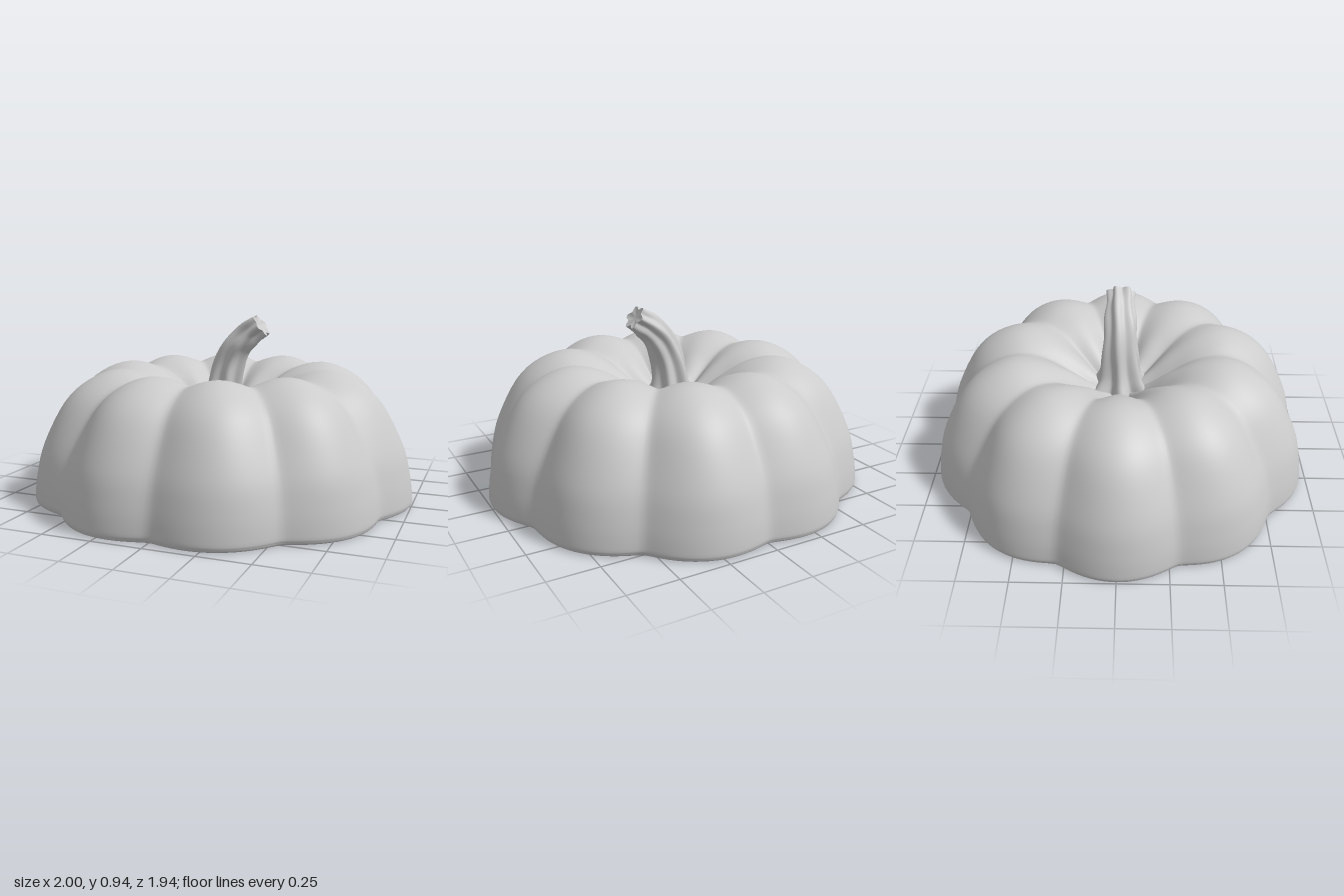
import * as THREE from 'three';

const material = new THREE.MeshStandardMaterial({ color: 0xcccccc, roughness: 0.8 });
const LOBES = 10;
const WALL = 0.03;

// Skin a surface over closed rings: point(row, angle) gives each vertex.
function ringSurface(rows, sides, point) {
  const positions = [], index = [];
  for (let j = 0; j < rows; j++) {
    for (let i = 0; i < sides; i++) positions.push(...point(j, (i / sides) * Math.PI * 2));
  }
  for (let j = 0; j < rows - 1; j++) {
    for (let i = 0; i < sides; i++) {
      const a = j * sides + i, b = j * sides + ((i + 1) % sides);
      index.push(a, a + sides, b, b, a + sides, b + sides);
    }
  }
  const geometry = new THREE.BufferGeometry();
  geometry.setAttribute('position', new THREE.Float32BufferAttribute(positions, 3));
  geometry.setIndex(index);
  geometry.computeVertexNormals();
  return geometry;
}

// Closed wall profile: rounded rim, outer skin up to the hub, inner skin back down.
function wallProfile(points) {
  const curve = new THREE.SplineCurve(points.map(([r, y]) => new THREE.Vector2(r, y)));
  const n = 48, outer = [], inner = [], rim = [];
  for (let k = 0; k <= n; k++) {
    const p = curve.getPoint(k / n), t = curve.getTangent(k / n);
    outer.push(p);
    inner.push(new THREE.Vector2(Math.max(0, p.x - t.y * WALL), p.y + t.x * WALL));
  }
  outer[n].x = inner[n].x = 0;
  inner[0].y = outer[0].y;
  const mid = outer[0].clone().add(inner[0]).multiplyScalar(0.5);
  const half = outer[0].x - mid.x;
  for (let k = 0; k < 8; k++) {
    const a = (k / 8) * Math.PI;
    rim.push(new THREE.Vector2(mid.x - Math.cos(a) * half, mid.y - Math.sin(a) * 0.015));
  }
  return [...rim, ...outer, ...inner.reverse()];
}

function createShell() {
  const crest = wallProfile([
    [0.998, 0.015], [1.0, 0.04], [0.985, 0.15], [0.945, 0.3], [0.84, 0.5], [0.72, 0.61], [0.57, 0.665],
    [0.42, 0.642], [0.28, 0.565], [0.17, 0.48], [0.09, 0.425], [0.04, 0.405], [0, 0.405],
  ]);
  const groove = wallProfile([
    [0.94, 0.015], [0.943, 0.04], [0.925, 0.15], [0.875, 0.3], [0.76, 0.49], [0.65, 0.585], [0.52, 0.625],
    [0.39, 0.595], [0.26, 0.51], [0.155, 0.435], [0.08, 0.405], [0.04, 0.4], [0, 0.405],
  ]);
  // Blend from groove to crest round each lobe
  const geometry = ringSurface(crest.length, LOBES * 24, (j, a) => {
    const c = Math.cos((a * LOBES) / 2);
    const f = (Math.sqrt(c * c + 0.012) - 0.11) / 0.896;
    const r = THREE.MathUtils.lerp(groove[j].x, crest[j].x, f);
    const y = THREE.MathUtils.lerp(groove[j].y, crest[j].y, f);
    return [r * Math.cos(a), y, r * Math.sin(a)];
  });
  const shell = new THREE.Mesh(geometry, material);
  shell.name = 'ribbedShell';
  return shell;
}

function createStem() {
  const path = new THREE.CatmullRomCurve3(
    [[0, 0.42], [0, 0.5], [0.02, 0.65], [0.07, 0.765], [0.135, 0.835], [0.205, 0.885]]
      .map(([x, y]) => new THREE.Vector3(x, y, 0)));
  // Radius and ridge height along the stem, from flared foot to cut end
  const girth = new THREE.SplineCurve(
    [[0.125, 0.03], [0.095, 0.018], [0.081, 0.01], [0.073, 0.009], [0.064, 0.008], [0.058, 0.011]]
      .map(([r, d]) => new THREE.Vector2(r, d)));
  const rows = 40, sides = 72, ridges = 6;
  const point = (j, a) => {
    const t = j / rows;
    const p = path.getPoint(t), d = path.getTangent(t), g = girth.getPoint(t);
    const r = g.x + g.y * Math.cos(ridges * (a - 0.5 * t) + Math.PI / 6) + 0.003 * Math.sin(17 * t + 2 * a);
    const u = r * Math.cos(a);
    return [p.x + d.y * u, p.y - d.x * u, r * Math.sin(a) * 1.08];
  };
  const stem = new THREE.Group();
  stem.name = 'stem';
  const stalk = new THREE.Mesh(ringSurface(rows + 1, sides, point), material);
  stalk.name = 'stemStalk';

  // Slightly hollowed cut face at the tip
  const end = path.getPoint(1), dir = path.getTangent(1);
  const cut = ringSurface(4, sides, (j, a) => {
    const k = 1 - j / 3, q = point(rows, a), sink = 0.008 * (1 - k * k);
    return [
      end.x + (q[0] - end.x) * k - dir.x * sink,
      end.y + (q[1] - end.y) * k - dir.y * sink,
      q[2] * k,
    ];
  });
  const cutFace = new THREE.Mesh(cut, material);
  cutFace.name = 'stemCutFace';
  stem.add(stalk, cutFace);
  return stem;
}

export function createModel() {
  const model = new THREE.Group();
  model.name = 'pumpkinTop';
  model.add(createShell(), createStem());
  return model;
}
